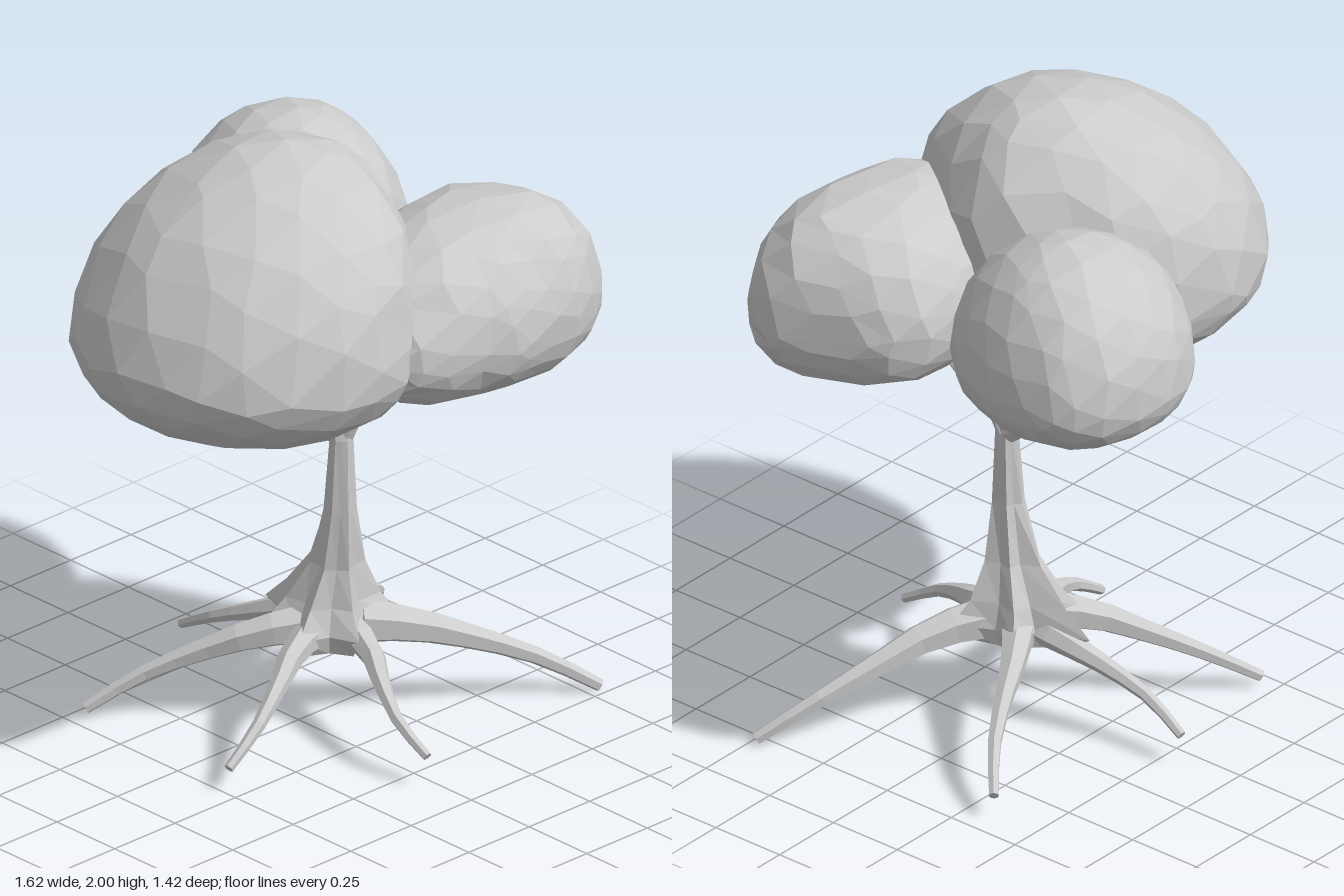
import * as THREE from 'three';
import { mergeVertices } from 'three/addons/utils/BufferGeometryUtils.js';

const material = new THREE.MeshStandardMaterial({ color: 0xcccccc, flatShading: true });

function addMesh(parent, name, geometry) {
  const mesh = new THREE.Mesh(geometry, material);
  mesh.name = name;
  parent.add(mesh);
}

// Skin over equal-length rings of points (counter-clockwise along the path), capped at both ends
function loft(rings) {
  const n = rings[0].length, last = rings.length - 1;
  const pts = rings.flat(), index = [];
  for (let i = 0; i < last; i++) {
    for (let j = 0; j < n; j++) {
      const a = i * n + j, b = i * n + (j + 1) % n;
      index.push(a, b, a + n, b, b + n, a + n);
    }
  }
  const centre = ring => ring.reduce((s, p) => s.add(p), new THREE.Vector3()).divideScalar(n);
  pts.push(centre(rings[0]), centre(rings[last]));
  for (let j = 0; j < n; j++) {
    const k = (j + 1) % n;
    index.push(pts.length - 2, k, j, pts.length - 1, last * n + j, last * n + k);
  }
  const geometry = new THREE.BufferGeometry().setFromPoints(pts);
  geometry.setIndex(index);
  geometry.computeVertexNormals();
  return geometry;
}

// Tapered limb through points [x, y, z]; radii are spread along its length
function limb(points, radii, steps = 7, sides = 6) {
  const curve = new THREE.CatmullRomCurve3(points.map(p => new THREE.Vector3(...p)));
  const { normals, binormals } = curve.computeFrenetFrames(steps);
  const rings = [];
  for (let i = 0; i <= steps; i++) {
    const f = (i / steps) * (radii.length - 1), k = Math.min(Math.floor(f), radii.length - 2);
    const r = THREE.MathUtils.lerp(radii[k], radii[k + 1], f - k);
    const c = curve.getPointAt(i / steps);
    rings.push(Array.from({ length: sides }, (_, j) => {
      const a = (j / sides) * Math.PI * 2;
      return c.clone().addScaledVector(normals[i], r * Math.cos(a))
        .addScaledVector(binormals[i], r * Math.sin(a));
    }));
  }
  return loft(rings);
}

// Radius of a plan outline in direction a, interpolated between its points
function outlineRadius(polar, a) {
  const n = polar.length, tau = Math.PI * 2;
  for (let i = 0; i < n; i++) {
    const [a0, r0] = polar[i], [a1, r1] = polar[(i + 1) % n];
    const span = (a1 - a0 + tau) % tau, d = (a - a0 + tau * 2) % tau;
    if (d <= span) return r0 + (r1 - r0) * d / span;
  }
  return polar[0][1];
}

// Faceted leaf mass: a sphere fitted to a plan outline, with flat base, leaning top and blunt +x end
function leafMass({ centre: [cx, cy, cz], up, down, lean, topPower, basePower, blunt, plan }, seed) {
  let s = seed;
  const jitter = () => ((s = (s * 16807) % 2147483647) / 2147483647 - 0.5) * 0.13;
  const polar = plan.map(([x, z]) => [Math.atan2(z - cz, x - cx), Math.hypot(x - cx, z - cz)])
    .sort((p, q) => p[0] - q[0]);
  let geometry = new THREE.IcosahedronGeometry(1, 3);
  geometry.deleteAttribute('normal');
  geometry.deleteAttribute('uv');
  geometry = mergeVertices(geometry, 1e-3);
  const pos = geometry.attributes.position, p = new THREE.Vector3();
  for (let i = 0; i < pos.count; i++) {
    p.fromBufferAttribute(pos, i);
    p.set(p.x + jitter(), p.y + jitter(), p.z + jitter()).normalize();
    const a = Math.atan2(p.z, p.x);
    const power = (p.y > 0 ? topPower : basePower) * (1 - blunt * Math.max(0, Math.cos(a)));
    const r = outlineRadius(polar, a) * Math.pow(Math.hypot(p.x, p.z), power) * 1.01;
    pos.setXYZ(i, cx + r * Math.cos(a) + lean * Math.max(p.y, 0),
      cy + p.y * (p.y > 0 ? up : down), cz + r * Math.sin(a));
  }
  geometry.computeVertexNormals();
  return geometry;
}

export function createModel() {
  const tree = new THREE.Group();
  tree.name = 'tree';

  // Root tips [x, y, z], sideways bend, thickness, extra flare on the trunk
  const base = [0.1, 0.04];
  const roots = [
    [-0.48, 0.075, 0.2, 0.02, 0.9, 0],
    [-0.03, 0.1, 0.59, -0.03, 0.9, 0],
    [0.79, 0.02, 0.48, 0.015, 1.2, 0.2],
    [0.67, 0.08, -0.35, -0.015, 0.95, 0],
    [0.06, 0.1, -0.57, 0.02, 0.9, 0.45],
    [-0.45, 0.035, -0.45, -0.015, 1.1, 0.1],
  ];
  const rootGroup = new THREE.Group();
  rootGroup.name = 'roots';
  tree.add(rootGroup);
  const arch = [[0.1, 1], [0.3, 0.91], [0.54, 0.66], [0.78, 0.36], [1, 0]];
  for (const [x, y, z, bend, size] of roots) {
    const dx = x - base[0], dz = z - base[1], len = Math.hypot(dx, dz);
    const path = arch.map(([t, f]) => {
      const side = bend * Math.sin(t * Math.PI * 2) / len;
      return [base[0] + dx * t - dz * side, y + (0.31 - y) * f, base[1] + dz * t + dx * side];
    });
    addMesh(rootGroup, 'root', limb(path, [0.06, 0.044, 0.03, 0.022, 0.017].map(r => r * size)));
  }

  // Trunk: ridges run up from each root; [y, x, z, ridge radius, valley radius, share of root flare]
  const angles = roots.map(([x, , z]) => Math.atan2(z - base[1], x - base[0]));
  const trunkRings = [
    [0.25, 0.1, 0.03, 0.14, 0.1, 0.3], [0.31, 0.1, 0.03, 0.18, 0.115, 1], [0.39, 0.108, 0.03, 0.125, 0.09, 1],
    [0.51, 0.11, 0.05, 0.073, 0.057, 1], [0.7, 0.103, 0.073, 0.049, 0.041, 0.2],
    [0.94, 0.102, 0.08, 0.036, 0.032, 0], [0.99, 0.107, 0.07, 0.038, 0.033, 0],
  ].map(([y, x, z, ridge, valley, share]) => angles.flatMap((a, i) => {
    let next = angles[(i + 1) % angles.length];
    if (next > a) next -= Math.PI * 2;
    return [[a, ridge * (1 + share * roots[i][5])], [(a + next) / 2, valley]].map(([t, r]) =>
      new THREE.Vector3(x + r * Math.cos(t), y, z + r * Math.sin(t)));
  }));
  addMesh(tree, 'trunk', loft(trunkRings));

  // Three branches, one into each leaf mass
  addMesh(tree, 'leftBranch', limb([[0.11, 0.94, 0.07], [0.06, 0.985, 0.03], [0.0, 1.06, 0.0],
    [-0.05, 1.12, -0.03], [-0.13, 1.18, -0.05], [-0.22, 1.28, -0.06]], [0.028, 0.019, 0.012, 0.01]));
  addMesh(tree, 'frontBranch', limb([[0.105, 0.94, 0.08], [0.12, 1.01, 0.11], [0.15, 1.09, 0.18],
    [0.2, 1.22, 0.27], [0.24, 1.33, 0.34]], [0.032, 0.025, 0.018, 0.013]));
  addMesh(tree, 'backBranch', limb([[0.105, 0.94, 0.06], [0.12, 0.985, 0.0], [0.145, 1.05, -0.08],
    [0.165, 1.12, -0.16], [0.2, 1.21, -0.28], [0.23, 1.3, -0.36]], [0.037, 0.031, 0.021, 0.016]));

  // Leaf masses
  const masses = {
    largeLeafMass: {
      centre: [-0.26, 1.44, 0.07], up: 0.56, down: 0.29, lean: 0.13, topPower: 1.06, basePower: 0.7, blunt: 0,
      plan: [[-0.81, 0.06], [-0.77, 0.25], [-0.7, 0.4], [-0.58, 0.52], [-0.43, 0.6], [-0.26, 0.62],
        [-0.1, 0.6], [0.02, 0.5], [0.14, 0.33], [0.24, 0.15], [0.27, 0.05], [0.23, -0.08],
        [0.13, -0.22], [-0.02, -0.4], [-0.26, -0.47], [-0.42, -0.45], [-0.58, -0.38], [-0.75, -0.17]],
    },
    frontLeafMass: {
      centre: [0.3, 1.42, 0.4], up: 0.34, down: 0.21, lean: 0, topPower: 0.98, basePower: 0.6, blunt: 0.4,
      plan: [[-0.17, 0.47], [-0.14, 0.59], [0.1, 0.67], [0.35, 0.7], [0.6, 0.66], [0.72, 0.56],
        [0.75, 0.46], [0.69, 0.3], [0.62, 0.13], [0.55, 0.06], [0.42, 0.03], [0.25, 0.04],
        [0.05, 0.12], [-0.1, 0.27]],
    },
    backLeafMass: {
      centre: [0.29, 1.42, -0.33], up: 0.41, down: 0.19, lean: 0, topPower: 1.03, basePower: 0.65, blunt: 0,
      plan: [[-0.08, -0.44], [0, -0.56], [0.1, -0.65], [0.22, -0.7], [0.4, -0.69], [0.55, -0.63],
        [0.62, -0.53], [0.64, -0.4], [0.6, -0.2], [0.52, -0.06], [0.4, 0.03], [0.28, 0.04],
        [0.1, -0.05], [-0.05, -0.25]],
    },
  };
  Object.entries(masses).forEach(([name, mass], i) => addMesh(tree, name, leafMass(mass, 4711 + i * 977)));

  return tree;
}
